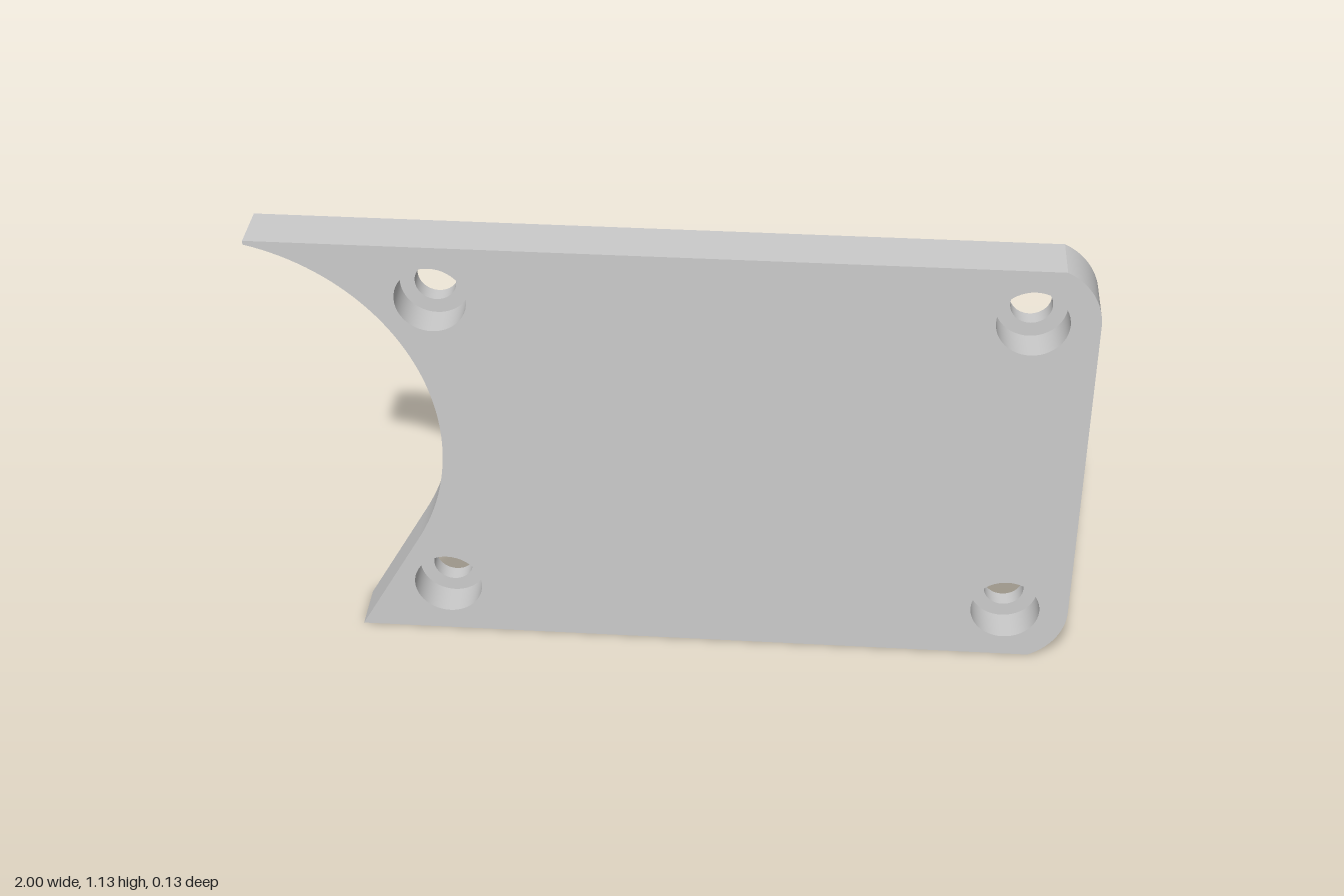
import * as THREE from 'three';
import { mergeGeometries, toCreasedNormals } from 'three/addons/utils/BufferGeometryUtils.js';

const HEIGHT = 1.13, HALF = 0.0645;             // plate height and half thickness
const BORE = 0.05, SINK = 0.086, DEPTH = 0.087; // through hole, counterbore radius and depth
const SEG = 24;
const HOLE_X = [-0.567, 0.843], HOLE_Y = [0.142, 0.988];
const holes = HOLE_X.flatMap((x) => HOLE_Y.map((y) => [x, y]));

// Plate outline, with optional round holes of one radius
function plateShape(holeRadius) {
  const s = new THREE.Shape();
  const [cx, r] = [HOLE_X[1], 1 - HOLE_X[1]];
  const a = Math.asin(HOLE_Y[0] / r);
  s.moveTo(-0.795, 0);
  s.lineTo(cx + r * Math.cos(a), 0);
  // right corners are arcs around the screw holes, cut by the straight edges
  s.absarc(cx, HOLE_Y[0], r, -a, 0, false);
  s.absarc(cx, HOLE_Y[1], r, 0, a, false);
  s.lineTo(-1, HEIGHT);
  // round bite in the left end, running out into a straight slope
  const R = 0.57, bx = -1.13;
  s.absarc(bx, HEIGHT / 2, R, Math.acos((-1 - bx) / R), -Math.PI / 6, true);
  s.closePath();
  if (holeRadius) {
    for (const [x, y] of holes) {
      s.holes.push(new THREE.Path().absarc(x, y, holeRadius, 0, Math.PI * 2, true));
    }
  }
  return s;
}

// Flat front or back face
function face(holeRadius, z, flip) {
  const g = new THREE.ShapeGeometry(plateShape(holeRadius), SEG);
  if (flip) g.index.array.reverse();
  return g.toNonIndexed().translate(0, 0, z);
}

// Outer edge wall: the sides of an extrusion without its caps
function rim() {
  const e = new THREE.ExtrudeGeometry(plateShape(), { depth: 2 * HALF, bevelEnabled: false, curveSegments: SEG });
  const { start, count } = e.groups[1];
  const g = new THREE.BufferGeometry();
  for (const name of ['position', 'normal', 'uv']) {
    const { array, itemSize } = e.attributes[name];
    g.setAttribute(name, new THREE.BufferAttribute(array.slice(start * itemSize, (start + count) * itemSize), itemSize));
  }
  return g.translate(0, 0, -HALF);
}

// Stepped wall of a counterbored hole, facing inwards
function counterbore(x, y) {
  const profile = [[SINK, HALF], [SINK, HALF - DEPTH], [BORE, HALF - DEPTH], [BORE, -HALF]];
  const g = new THREE.LatheGeometry(profile.map((p) => new THREE.Vector2(...p)), SEG * 2);
  return g.rotateX(Math.PI / 2).translate(x, y, 0).toNonIndexed();
}

export function createModel() {
  const group = new THREE.Group();
  group.name = 'mountingPlate';
  const geometry = mergeGeometries([
    face(SINK, HALF, false),
    face(BORE, -HALF, true),
    rim(),
    ...holes.map(([x, y]) => counterbore(x, y)),
  ]);
  // normals are smoothed at a larger scale so that close vertices stay distinct
  const smooth = toCreasedNormals(geometry.scale(100, 100, 100), Math.PI / 7).scale(0.01, 0.01, 0.01);
  const plate = new THREE.Mesh(smooth, new THREE.MeshStandardMaterial({ color: 0xcccccc }));
  plate.name = 'plate';
  group.add(plate);
  return group;
}
